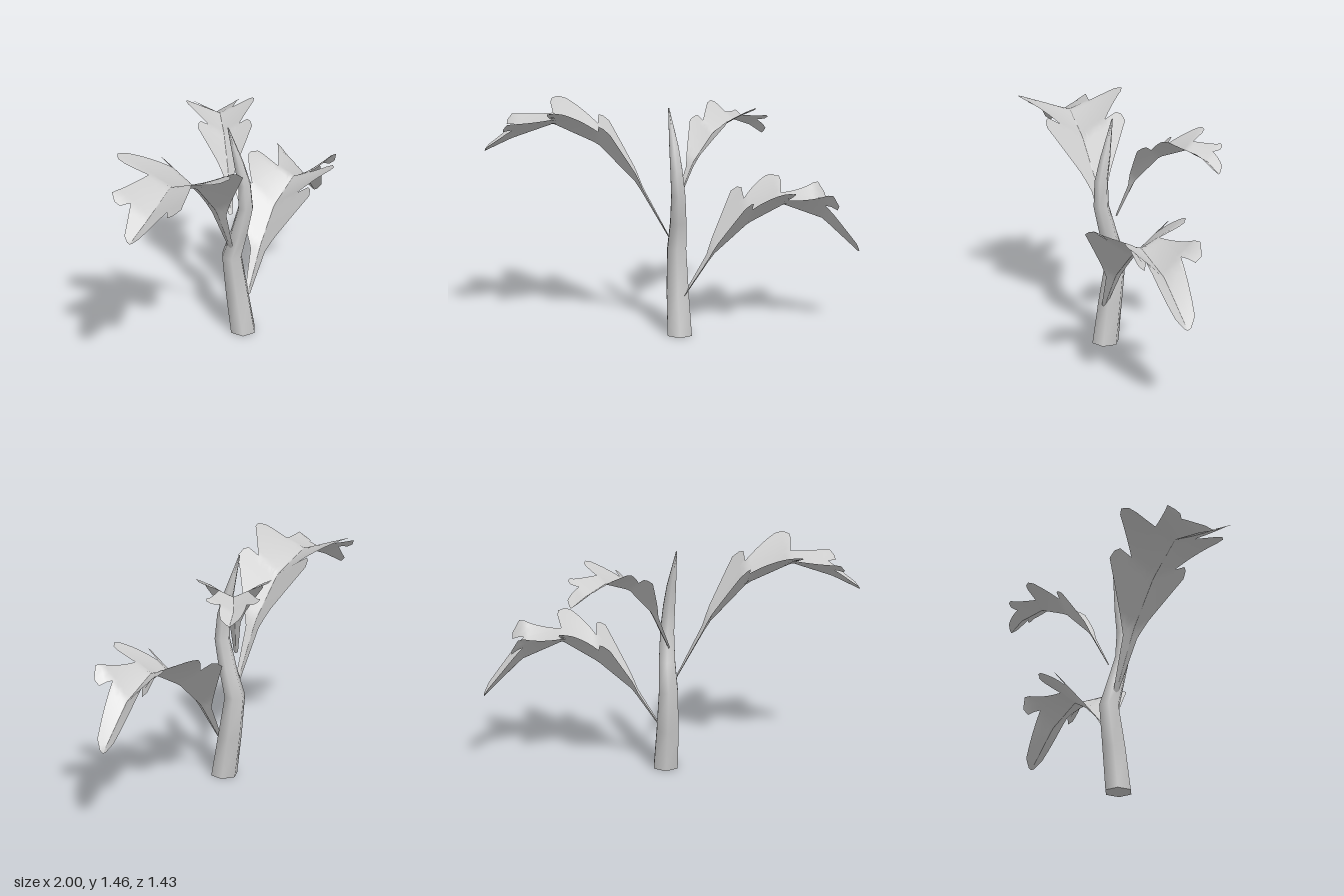
import * as THREE from 'three';
import { mergeVertices } from 'three/addons/utils/BufferGeometryUtils.js';

const material = new THREE.MeshStandardMaterial({ color: 0xcccccc });
const leafMaterial = new THREE.MeshStandardMaterial({ color: 0xcccccc, side: THREE.DoubleSide });

// One half of the lobed leaf edge: [distance along midrib, distance from it]
const halfEdge = [
  [0, 0.018], [0.16, 0.05],
  [0.36, 0.265], [0.4, 0.255], [0.425, 0.23], [0.43, 0.155],
  [0.63, 0.34], [0.68, 0.36], [0.72, 0.33], [0.725, 0.28], [0.705, 0.14],
  [0.905, 0.2], [0.96, 0.22], [0.99, 0.185], [0.99, 0.15], [0.94, 0.115],
  [1.1, 0.045], [1.12, 0.015],
].map(([s, v]) => new THREE.Vector2(s, v));

// Each midrib passes these stations as [x, y, z, width factor, fold slope]
const stations = [0, 0.2, 0.43, 0.7, 0.95, 1.12];
const midribs = {
  leftLeaf: [
    [-0.04, 0.62, -0.01, 1, 0.7], [-0.2, 0.97, 0.105, 1, 0.7], [-0.395, 1.22, 0.235, 1, 0.65],
    [-0.63, 1.345, 0.37, 1, 0.33], [-0.84, 1.26, 0.51, 1, 0.55], [-0.99, 1.18, 0.585, 1, 0.5],
  ],
  rightLeaf: [
    [0.08, 0.25, 0, 1, 0.8], [0.23, 0.52, -0.1, 1, 0.8], [0.406, 0.715, -0.225, 1.02, 0.78],
    [0.606, 0.84, -0.315, 0.8, 0.45], [0.8, 0.74, -0.48, 0.95, 0.95], [0.985, 0.51, -0.64, 1.4, 0.6],
  ],
  backLeaf: [
    [-0.01, 0.82, -0.06, 0.7, 0.8], [0.04, 1.07, -0.18, 0.65, 0.8], [0.1, 1.245, -0.34, 0.63, 0.65],
    [0.162, 1.31, -0.505, 0.6, 0.45], [0.21, 1.26, -0.64, 0.65, 0.55], [0.262, 1.2, -0.715, 1.2, 0.6],
  ],
};

// Halve the longest edge until every triangle is small enough to bend
function subdivide(a, b, c, limit, out) {
  const ab = a.distanceTo(b), bc = b.distanceTo(c), ca = c.distanceTo(a);
  const longest = Math.max(ab, bc, ca);
  if (longest < limit) { out.push([a, b, c]); return; }
  if (longest === bc) [a, b, c] = [b, c, a];
  else if (longest === ca) [a, b, c] = [c, a, b];
  const m = a.clone().add(b).multiplyScalar(0.5);
  subdivide(a, m, c, limit, out);
  subdivide(m, b, c, limit, out);
}

function halfLeafTriangles() {
  const contour = [new THREE.Vector2(0, 0), ...halfEdge, new THREE.Vector2(1.12, 0)];
  const triangles = [];
  for (const face of THREE.ShapeUtils.triangulateShape(contour, [])) {
    subdivide(...face.map((i) => contour[i]), 0.045, triangles);
  }
  return triangles;
}

// Straight interpolation between the two stations around s
function sampleMidrib(rows, s) {
  let i = 0;
  while (i < stations.length - 2 && s > stations[i + 1]) i++;
  const t = (s - stations[i]) / (stations[i + 1] - stations[i]);
  return rows[i].map((value, k) => THREE.MathUtils.lerp(value, rows[i + 1][k], t));
}

// Both halves of a leaf, folded upwards from the midrib
function makeLeaf(name, rows, triangles) {
  const first = rows[0], last = rows[rows.length - 1];
  const across = new THREE.Vector2(last[2] - first[2], first[0] - last[0]).normalize();
  const position = [];
  for (const side of [1, -1]) {
    for (const [a, b, c] of triangles) {
      for (const p of side > 0 ? [c, b, a] : [a, b, c]) {
        const [x, y, z, width, slope] = sampleMidrib(rows, p.x);
        const reach = p.y * width;
        position.push(x + side * reach * across.x, y + reach * slope, z + side * reach * across.y);
      }
    }
  }
  const loose = new THREE.BufferGeometry();
  loose.setAttribute('position', new THREE.Float32BufferAttribute(position, 3));
  const geometry = mergeVertices(loose, 1e-5);
  geometry.computeVertexNormals();
  const leaf = new THREE.Mesh(geometry, leafMaterial);
  leaf.name = name;
  return leaf;
}

// Six-sided bent stem: rings of [y, x, z, radius], from base to point
function makeStem() {
  const rings = [
    [0, 0.047, 0, 0.088], [0.27, 0.018, -0.025, 0.08], [0.54, -0.005, -0.055, 0.068],
    [0.72, 0.028, -0.015, 0.058], [0.9, 0.05, 0.025, 0.05], [1.06, 0.038, 0.028, 0.043],
    [1.2, 0.01, 0.008, 0.033], [1.43, -0.045, -0.025, 0.004],
  ];
  const top = rings.length - 1;
  const tube = new THREE.CylinderGeometry(1, 1, top, 6, top, false, Math.PI / 2);
  const p = tube.attributes.position;
  for (let i = 0; i < p.count; i++) {
    const [y, x, z, r] = rings[Math.round(p.getY(i) + top / 2)];
    p.setXYZ(i, x + r * p.getX(i), y, z + r * p.getZ(i));
  }
  // Weld the side seam; the old normals keep the end caps separate
  tube.deleteAttribute('uv');
  const geometry = mergeVertices(tube, 1e-5);
  geometry.computeVertexNormals();
  const stem = new THREE.Mesh(geometry, material);
  stem.name = 'stem';
  return stem;
}

export function createModel() {
  const model = new THREE.Group();
  model.name = 'plant';
  model.add(makeStem());
  const triangles = halfLeafTriangles();
  for (const [name, rows] of Object.entries(midribs)) {
    model.add(makeLeaf(name, rows, triangles));
  }
  return model;
}
